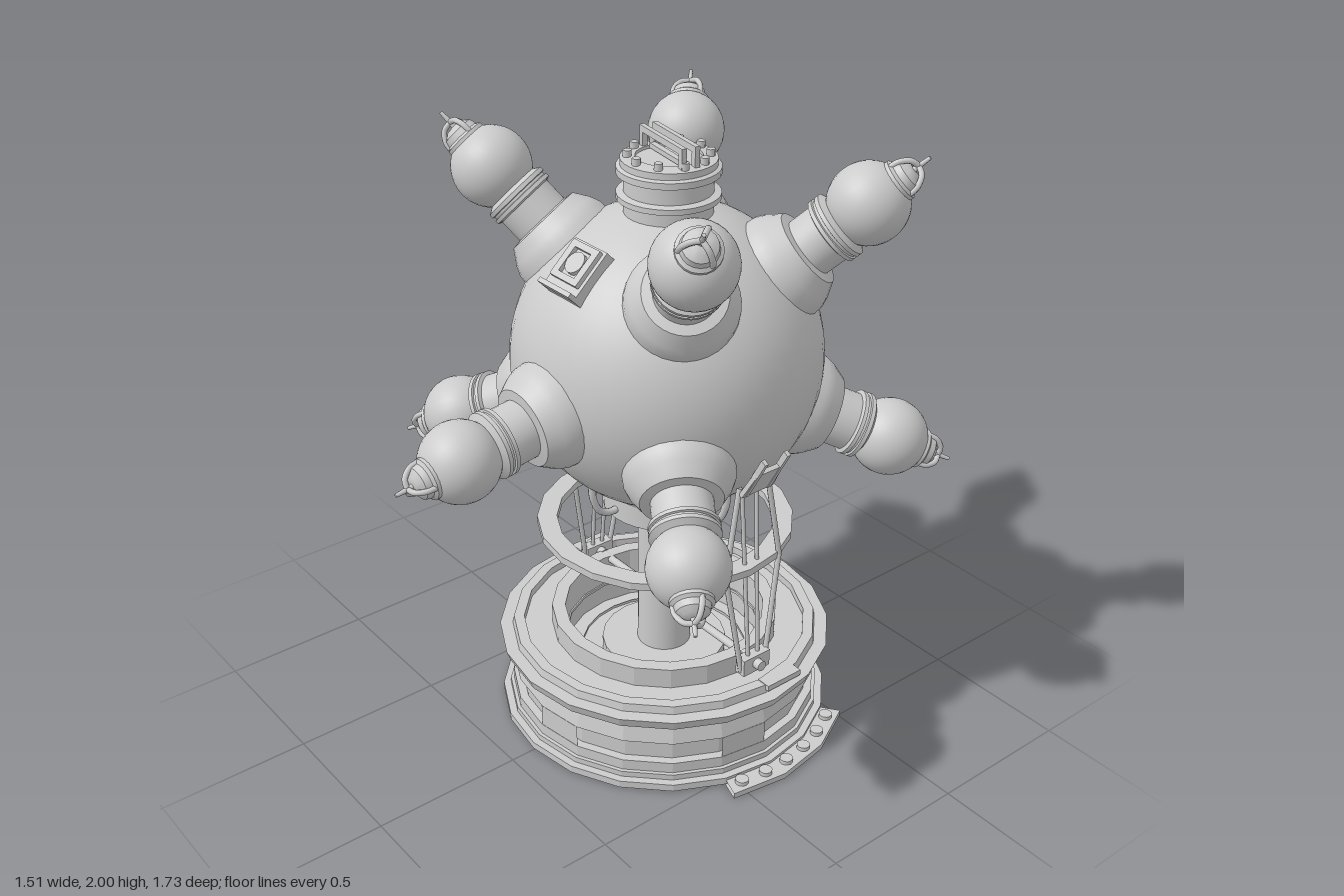
import * as THREE from 'three';
import { toCreasedNormals } from 'three/addons/utils/BufferGeometryUtils.js';

const AXIS_Z = -0.14, STEP = Math.PI / 10;
const grey = new THREE.MeshStandardMaterial({ color: 0xcccccc, side: THREE.DoubleSide });
const V = (x, y, z) => new THREE.Vector3(x, y, z);

function add(parent, name, geo, x = 0, y = 0, z = 0) {
  const m = new THREE.Mesh(geo, grey);
  m.name = name;
  m.position.set(x, y, z);
  parent.add(m);
  return m;
}

// Turned part from [radius, height] pairs, outer side going upward
function turned(points, seg = 32, crease = 0.5, start = 0, length = Math.PI * 2) {
  const geo = new THREE.LatheGeometry(points.map(p => new THREE.Vector2(...p)), seg, start, length);
  return toCreasedNormals(geo, crease);
}

// Faceted ring, or part of one, counted in twentieths of a turn
function ring(r0, r1, y0, y1, first = 0, count = 20) {
  return turned([[r0, y0], [r1, y0], [r1, y1], [r0, y1], [r0, y0]], count, 0.2, first * STEP, count * STEP);
}

const disc = (r, h, seg = 32) => new THREE.CylinderGeometry(r, r, h, seg);

function tube(parent, name, points, r, curved = false) {
  const path = new THREE.CurvePath();
  if (curved) path.add(new THREE.CatmullRomCurve3(points));
  else for (let i = 1; i < points.length; i++) path.add(new THREE.LineCurve3(points[i - 1], points[i]));
  path.curves.forEach(c => add(parent, name, new THREE.TubeGeometry(c, curved ? 12 : 1, r, 8)));
}

// Arm with collar, neck, ball and pronged tip, pointing along +y from the body centre
function createPod() {
  const pod = new THREE.Group();
  pod.name = 'pod';
  add(pod, 'podCollar', turned([[0.172, 0.43], [0.168, 0.48], [0.155, 0.51], [0.125, 0.555], [0.09, 0.56]]));
  add(pod, 'podNeck', turned([[0.094, 0.54], [0.094, 0.635], [0.107, 0.64], [0.107, 0.652], [0.1, 0.654],
    [0.1, 0.662], [0.107, 0.664], [0.107, 0.677], [0.085, 0.69], [0.07, 0.7]]));
  add(pod, 'podBall', new THREE.SphereGeometry(0.125, 32, 24), 0, 0.78);
  add(pod, 'podCap', turned([[0.066, 0.87], [0.066, 0.897], [0.055, 0.905], [0.05, 0.925], [0.03, 0.94], [0, 0.945]], 20));
  for (let i = 0; i < 3; i++) {
    const a = i * Math.PI * 2 / 3, c = Math.cos(a), s = Math.sin(a);
    const at = (r, y) => V(r * c, y, r * s);
    tube(pod, 'podProng', [at(0.056, 0.895), at(0.052, 0.925), at(0.03, 0.953), at(0, 0.96)], 0.009, true);
  }
  add(pod, 'podPin', new THREE.CylinderGeometry(0.006, 0.01, 0.06, 8), 0, 0.97);
  return pod;
}

function createBody() {
  const body = new THREE.Group();
  body.name = 'body';
  body.position.set(0, 1.3, AXIS_Z);
  add(body, 'sphere', new THREE.SphereGeometry(0.488, 48, 32));

  // Nine pods: one in front, the others mirrored left and right
  const directions = [[0, -0.115, 0.78]];
  for (const s of [-1, 1]) {
    directions.push([s * 0.47, 0.53, 0.3], [s * 0.4, 0.5, -0.4], [s * 0.575, -0.325, 0.39], [s * 0.435, -0.315, -0.58]);
  }
  for (const d of directions) {
    const pod = createPod();
    pod.quaternion.setFromUnitVectors(V(0, 1, 0), V(...d).normalize());
    body.add(pod);
  }

  // Sloping front panel with a round lens
  const panel = new THREE.Group();
  panel.name = 'frontPanel';
  panel.position.set(0, 0.352, 0.328);
  panel.rotation.x = -0.82;
  add(panel, 'panelBack', new THREE.BoxGeometry(0.15, 0.17, 0.08), 0, 0, -0.01);
  for (const s of [-1, 1]) {
    add(panel, 'panelRim', new THREE.BoxGeometry(0.025, 0.12, 0.02), s * 0.05, 0.015, 0.035);
    add(panel, 'panelRim', new THREE.BoxGeometry(0.12, 0.02, 0.02), 0, 0.015 + s * 0.052, 0.035);
  }
  add(panel, 'panelLens', disc(0.035, 0.02, 16), 0, 0.015, 0.035).rotation.x = Math.PI / 2;
  add(panel, 'panelLip', new THREE.BoxGeometry(0.15, 0.015, 0.03), 0, -0.078, 0.04);
  body.add(panel);
  return body;
}

function createHatch() {
  const hatch = new THREE.Group();
  hatch.name = 'hatch';
  hatch.position.set(0, 0, AXIS_Z);
  add(hatch, 'hatchNeck', turned([[0.135, 1.74], [0.135, 1.81], [0.157, 1.813], [0.157, 1.83], [0.135, 1.835],
    [0.135, 1.885], [0.157, 1.89], [0.157, 1.91], [0.145, 1.915], [0.145, 1.935], [0.1, 1.94], [0.1, 1.93], [0, 1.93]]));
  for (let i = 0; i < 10; i++) {
    const a = (i + 0.5) * Math.PI / 5;
    add(hatch, 'hatchBolt', disc(0.013, 0.025, 10), 0.122 * Math.cos(a), 1.945, 0.122 * Math.sin(a));
  }
  // Twin bar handle
  const handle = new THREE.Group();
  handle.name = 'handle';
  handle.rotation.y = -0.17;
  for (const z of [-0.022, 0.022]) {
    add(handle, 'handleBar', new THREE.BoxGeometry(0.25, 0.02, 0.016), 0, 1.99, z);
    for (const x of [-0.115, 0.115]) add(handle, 'handlePost', new THREE.BoxGeometry(0.02, 0.06, 0.016), x, 1.96, z);
  }
  add(handle, 'handleRib', new THREE.BoxGeometry(0.2, 0.015, 0.02), 0, 1.94, 0);
  hatch.add(handle);
  return hatch;
}

function createStand() {
  const stand = new THREE.Group();
  stand.name = 'stand';
  stand.position.set(0, 0, AXIS_Z);
  add(stand, 'column', disc(0.09, 0.7), 0, 0.5);
  add(stand, 'columnCollar', turned([[0.08, 0.77], [0.205, 0.77], [0.205, 0.845], [0.16, 0.87]]));
  add(stand, 'guardRing', ring(0.355, 0.42, 0.685, 0.71));

  // Curved pipes joining the collar to the sphere
  for (let i = 0; i < 4; i++) {
    const g = new THREE.Group();
    g.name = 'collarPipe';
    g.rotation.y = i * Math.PI / 2;
    tube(g, 'pipe', [V(0, 0.805, 0.18), V(0, 0.805, 0.235), V(0, 0.825, 0.27), V(0, 0.88, 0.295), V(0, 0.93, 0.3)], 0.012, true);
    stand.add(g);
  }

  // Hollow base: flanges, wall, raised inner lip and sunken floor
  add(stand, 'bottomFlange', ring(0.46, 0.555, 0.005, 0.03));
  add(stand, 'bottomStep', ring(0.46, 0.53, 0.03, 0.05));
  add(stand, 'lowerWall', ring(0.47, 0.518, 0.05, 0.088));
  add(stand, 'windowBand', ring(0.47, 0.49, 0.088, 0.165));
  for (const i of [0, 4, 9, 14]) add(stand, 'windowPost', ring(0.48, 0.517, 0.088, 0.165, i, 1));
  add(stand, 'upperWall', turned([[0.47, 0.165], [0.516, 0.165], [0.495, 0.25], [0.47, 0.25]], 20, 0.2));
  add(stand, 'topFlange', turned([[0.47, 0.25], [0.545, 0.25], [0.558, 0.285], [0.515, 0.285], [0.51, 0.312],
    [0.475, 0.312], [0.475, 0.285], [0.38, 0.285], [0.38, 0.355], [0.335, 0.355], [0.335, 0.17], [0, 0.17]], 20, 0.2));
  add(stand, 'floorDisc', disc(0.21, 0.05, 20), 0, 0.195);
  add(stand, 'underCup', turned([[0, 0.1], [0.28, 0.1], [0.28, 0.18]], 24));
  add(stand, 'baseRoof', ring(0.33, 0.48, 0.24, 0.25));

  for (const s of [-1, 1]) {
    // Side step with bolts, three facets wide
    const first = s > 0 ? 4 : 13;
    add(stand, 'sideStep', ring(0.52, 0.622, 0, 0.02, first, 3));
    for (let i = 0; i < 6; i++) {
      const a = (first + 0.25 + i * 0.5) * STEP;
      add(stand, 'stepBolt', disc(0.022, 0.016, 12), 0.58 * Math.sin(a), 0.026, 0.58 * Math.cos(a));
    }
    add(stand, 'flangePad', new THREE.BoxGeometry(0.05, 0.02, 0.14), s * 0.5, 0.305, -0.07);

    // Strut frame: bracket on the sphere, two bent rods and a foot
    const z = -0.03;
    const bracket = new THREE.Group();
    bracket.name = 'bracket';
    bracket.position.set(s * 0.425, 1.03, z);
    bracket.rotation.z = -s * 0.5;
    const plate = new THREE.Shape([[-0.065, -0.06], [0.065, -0.06], [0.052, 0.05], [-0.052, 0.05]].map(p => new THREE.Vector2(...p)));
    add(bracket, 'bracketPlate', new THREE.ExtrudeGeometry(plate, { depth: 0.015, bevelEnabled: false }), -0.0075).rotation.y = Math.PI / 2;
    for (const t of [-1, 1]) {
      add(bracket, 'bracketFork', new THREE.BoxGeometry(0.02, 0.17, 0.014), 0, 0.025, t * 0.045);
      tube(stand, 'strut', [V(s * 0.385, 1.0, z + t * 0.058), V(s * 0.395, 0.7, z + t * 0.112), V(s * 0.415, 0.32, z + t * 0.05)], 0.009);
      tube(stand, 'innerStrut', [V(s * 0.365, 0.98, z + t * 0.03), V(s * 0.415, 0.34, z + t * 0.02)], 0.007);
    }
    stand.add(bracket);
    add(stand, 'strutFoot', new THREE.BoxGeometry(0.04, 0.06, 0.11), s * 0.415, 0.34, z);
    add(stand, 'footPin', disc(0.018, 0.09, 12), s * 0.415, 0.342, z).rotation.z = Math.PI / 2;
  }
  add(stand, 'crossBar', disc(0.014, 0.82, 10), 0, 0.342, -0.03).rotation.z = Math.PI / 2;
  return stand;
}

export function createModel() {
  const model = new THREE.Group();
  model.name = 'sphereMachine';
  model.add(createBody(), createHatch(), createStand());
  return model;
}
